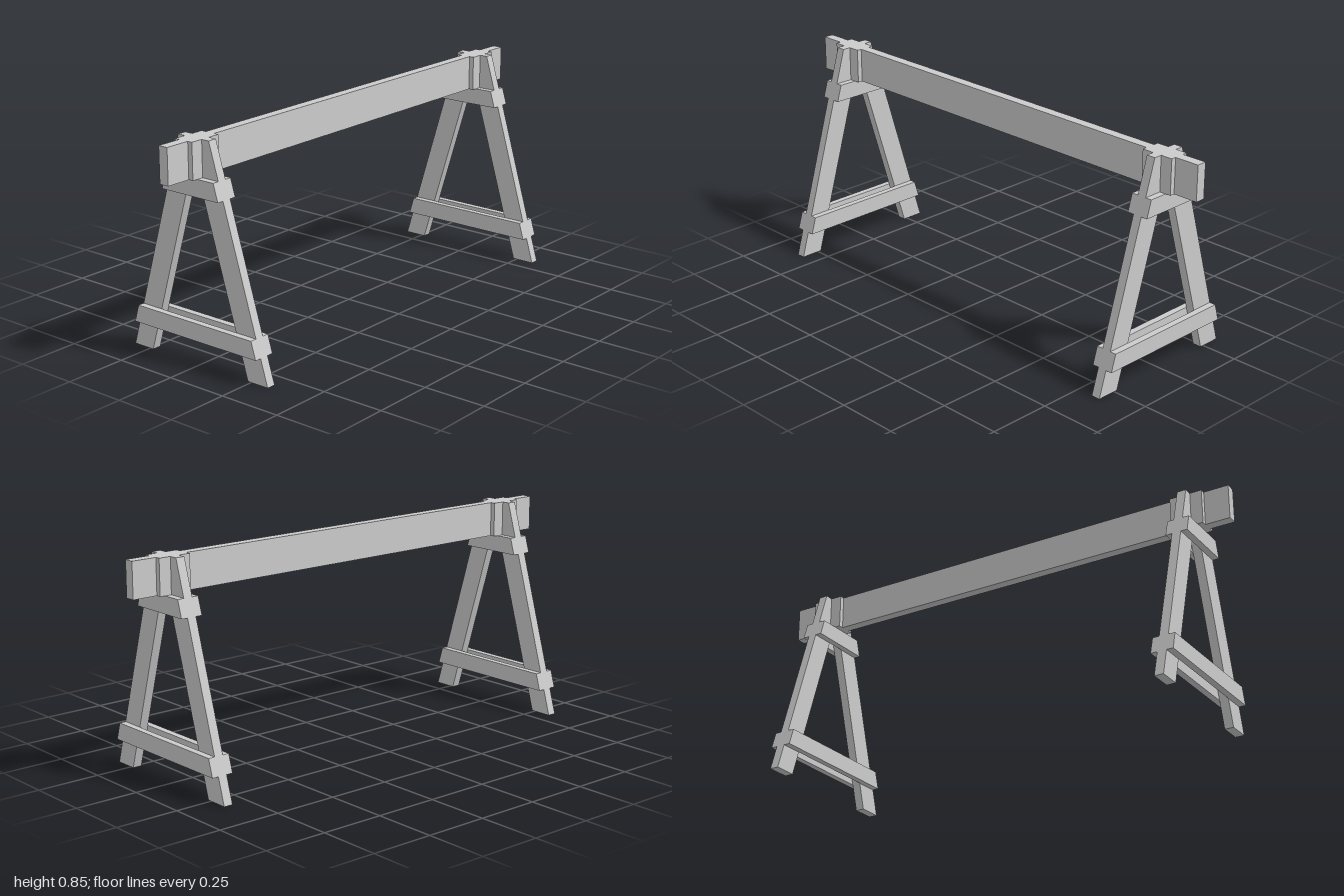
import * as THREE from 'three';

const TOP = 0.85, BEAM_BOTTOM = 0.712, BEAM_HALF = 0.02;
const TRESTLE_X = 0.834, LEG_HALF = 0.018, RAIL_HALF = 0.044, CLEAT_HALF = 0.066;
const SLOPE = 0.3; // inward lean of the legs per unit of height
const outer = (y) => 0.328 - SLOPE * y;

const material = new THREE.MeshStandardMaterial({ color: 0xcccccc, flatShading: true });

// Board cut from a [z, y] outline, with its thickness running from x0 to x1
function board(name, outline, x0, x1) {
  const shape = new THREE.Shape(outline.map(([z, y]) => new THREE.Vector2(-z, y)));
  const geometry = new THREE.ExtrudeGeometry(shape, { depth: x1 - x0, bevelEnabled: false });
  geometry.rotateY(Math.PI / 2).translate(x0, 0, 0);
  const mesh = new THREE.Mesh(geometry, material);
  mesh.name = name;
  return mesh;
}

function block(name, w, h, d, x, y, z) {
  const mesh = new THREE.Mesh(new THREE.BoxGeometry(w, h, d), material);
  mesh.name = name;
  mesh.position.set(x, y, z);
  return mesh;
}

// A-shaped support: two legs, paired cross rails and cleats that hold the beam
function trestle(name) {
  const group = new THREE.Group();
  group.name = name;
  const beamHeight = TOP - BEAM_BOTTOM;

  for (const s of [1, -1]) {
    const end = s > 0 ? 'front' : 'back';
    // Leg, notched flat where it meets the beam
    group.add(board(end + 'Leg', [
      [s * outer(0), 0], [s * 0.235, 0], [s * BEAM_HALF, BEAM_BOTTOM],
      [s * BEAM_HALF, TOP], [s * outer(TOP), TOP],
    ], -LEG_HALF, LEG_HALF));

    // Cleats against the beam on either side of the leg
    const w = CLEAT_HALF - LEG_HALF;
    for (const side of [1, -1]) {
      group.add(block(end + 'Cleat', w, beamHeight, 0.02,
        side * (LEG_HALF + w / 2), BEAM_BOTTOM + beamHeight / 2, s * (BEAM_HALF + 0.01)));
    }
  }

  // Rails on both faces of the legs, ends cut along the lean
  for (const [rail, y0, y1] of [['upperRail', 0.645, BEAM_BOTTOM], ['lowerRail', 0.103, 0.171]]) {
    const outline = [[-outer(y0), y0], [outer(y0), y0], [outer(y1), y1], [-outer(y1), y1]];
    group.add(board(rail, outline, LEG_HALF, RAIL_HALF));
    group.add(board(rail, outline, -RAIL_HALF, -LEG_HALF));
  }
  return group;
}

export function createModel() {
  const model = new THREE.Group();
  model.name = 'trestleBarrier';

  // Long plank across the top
  model.add(block('beam', 2, TOP - BEAM_BOTTOM, BEAM_HALF * 2, 0, (TOP + BEAM_BOTTOM) / 2, 0));

  for (const s of [1, -1]) {
    const support = trestle(s > 0 ? 'leftTrestle' : 'rightTrestle');
    support.position.x = s * TRESTLE_X;
    model.add(support);
  }
  return model;
}
